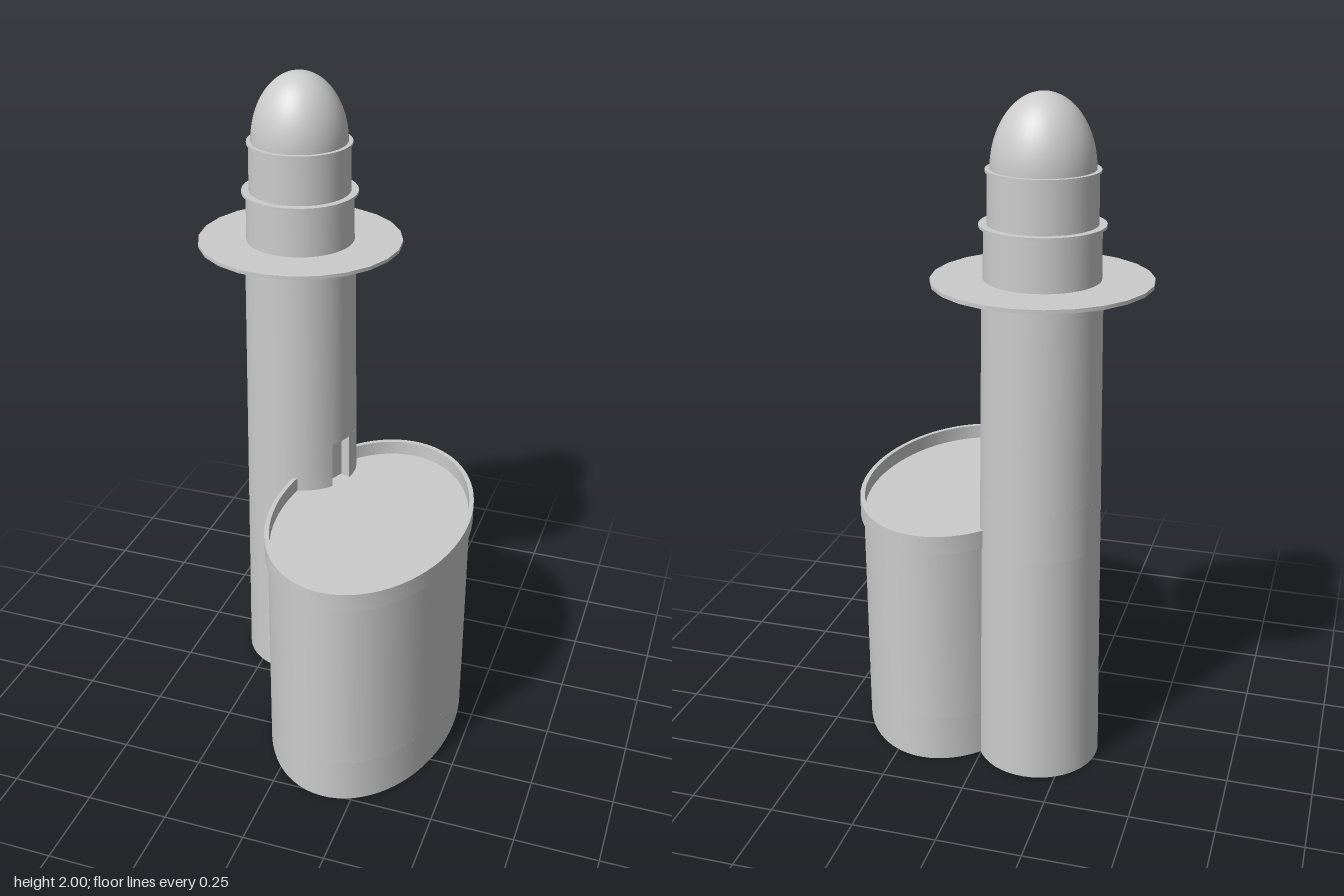
import * as THREE from 'three';
import { toCreasedNormals } from 'three/addons/utils/BufferGeometryUtils.js';

const material = new THREE.MeshStandardMaterial({ color: 0xcccccc, side: THREE.DoubleSide });
const TOWER = { x: -0.157, z: -0.21 };
const HALL = { x: 0.165, z: 0.065, rx: 0.29, rz: 0.448 };
const towerRadius = (y) => 0.185 - 0.0115 * y;

function add(parent, name, geometry, y = 0) {
  const mesh = new THREE.Mesh(geometry, material);
  mesh.name = name;
  mesh.position.y = y;
  parent.add(mesh);
  return mesh;
}

// Elliptical outline seen from above; an optional notch cuts a doorway into it
function outline(rx, rz, notch) {
  const at = (a) => new THREE.Vector2(rx * Math.cos(a), -rz * Math.sin(a));
  const from = notch ? notch.to : 0;
  const to = (notch ? notch.from : 0) + Math.PI * 2;
  const n = 72;
  const points = [];
  for (let i = 0; i < (notch ? n + 1 : n); i++) points.push(at(from + ((to - from) * i) / n));
  if (notch) {
    const inward = new THREE.Vector2(-Math.cos(notch.facing), Math.sin(notch.facing)).multiplyScalar(notch.depth);
    points.push(at(notch.from).add(inward), at(notch.to).add(inward));
  }
  return points;
}

// Upright prism from y = 0 to the given height, scaled at the top for taper
function prism(points, height, hole, topScale = 1) {
  const shape = new THREE.Shape(points);
  if (hole) shape.holes.push(new THREE.Path(hole));
  const geometry = new THREE.ExtrudeGeometry(shape, { depth: height, bevelEnabled: false });
  geometry.rotateX(-Math.PI / 2);
  const p = geometry.attributes.position;
  for (let i = 0; i < p.count; i++) {
    if (p.getY(i) > height / 2) p.setXYZ(i, p.getX(i) * topScale, p.getY(i), p.getZ(i) * topScale);
  }
  return toCreasedNormals(geometry, 0.6);
}

function drum(bottom, top, height, sides = 48) {
  return new THREE.CylinderGeometry(top, bottom, height, sides).translate(0, height / 2, 0);
}

function createHall() {
  const hall = new THREE.Group();
  hall.name = 'ovalHall';
  hall.position.set(HALL.x, 0, HALL.z);
  const { rx, rz } = HALL;

  // Lower wall with the recessed entrance, then the plain wall and roof
  const door = { from: Math.asin(-0.195 / rz), to: Math.asin(-0.115 / rz), facing: 0, depth: 0.03 };
  add(hall, 'entranceWall', prism(outline(rx, rz, door), 0.14));
  add(hall, 'upperWallAndRoof', prism(outline(rx, rz), 0.57), 0.14);

  // Raised rim around the roof
  add(hall, 'roofParapet', prism(outline(0.3, 0.457), 0.055, outline(0.286, 0.441)), 0.7);
  return hall;
}

function createTower() {
  const tower = new THREE.Group();
  tower.name = 'tower';
  tower.position.set(TOWER.x, 0, TOWER.z);

  // Base with a shallow hollow underneath
  const base = [[0, 0.02], [0.168, 0.02], [0.168, 0], [towerRadius(0), 0], [towerRadius(0.71), 0.71], [0, 0.71]]
    .map(([r, y]) => new THREE.Vector2(r, y));
  add(tower, 'towerBase', toCreasedNormals(new THREE.LatheGeometry(base, 48), 0.6));

  // Doorway opening onto the hall roof
  const r0 = towerRadius(0.71), r1 = towerRadius(0.86);
  const facing = 0.43;
  const door = { from: facing - 0.22, to: facing + 0.22, facing, depth: 0.033 };
  add(tower, 'doorwayBand', prism(outline(r0, r0, door), 0.15, null, r1 / r0), 0.71);
  add(tower, 'towerShaft', drum(r1, towerRadius(1.49), 0.63), 0.86);

  // Gallery, watch room and lantern
  add(tower, 'galleryDeck', drum(0.31, 0.31, 0.011, 24), 1.485);
  add(tower, 'watchRoom', drum(0.164, 0.162, 0.15), 1.494);
  add(tower, 'lanternDeck', drum(0.175, 0.175, 0.008), 1.641);
  add(tower, 'lantern', drum(0.153, 0.151, 0.143), 1.648);
  add(tower, 'domeLedge', drum(0.157, 0.157, 0.007), 1.79);

  const dome = new THREE.SphereGeometry(1, 48, 20, 0, Math.PI * 2, 0, Math.PI / 2);
  dome.scale(0.144, 0.205, 0.144);
  add(tower, 'dome', dome, 1.795);
  return tower;
}

export function createModel() {
  const model = new THREE.Group();
  model.name = 'lighthouse';
  model.add(createHall(), createTower());
  return model;
}
